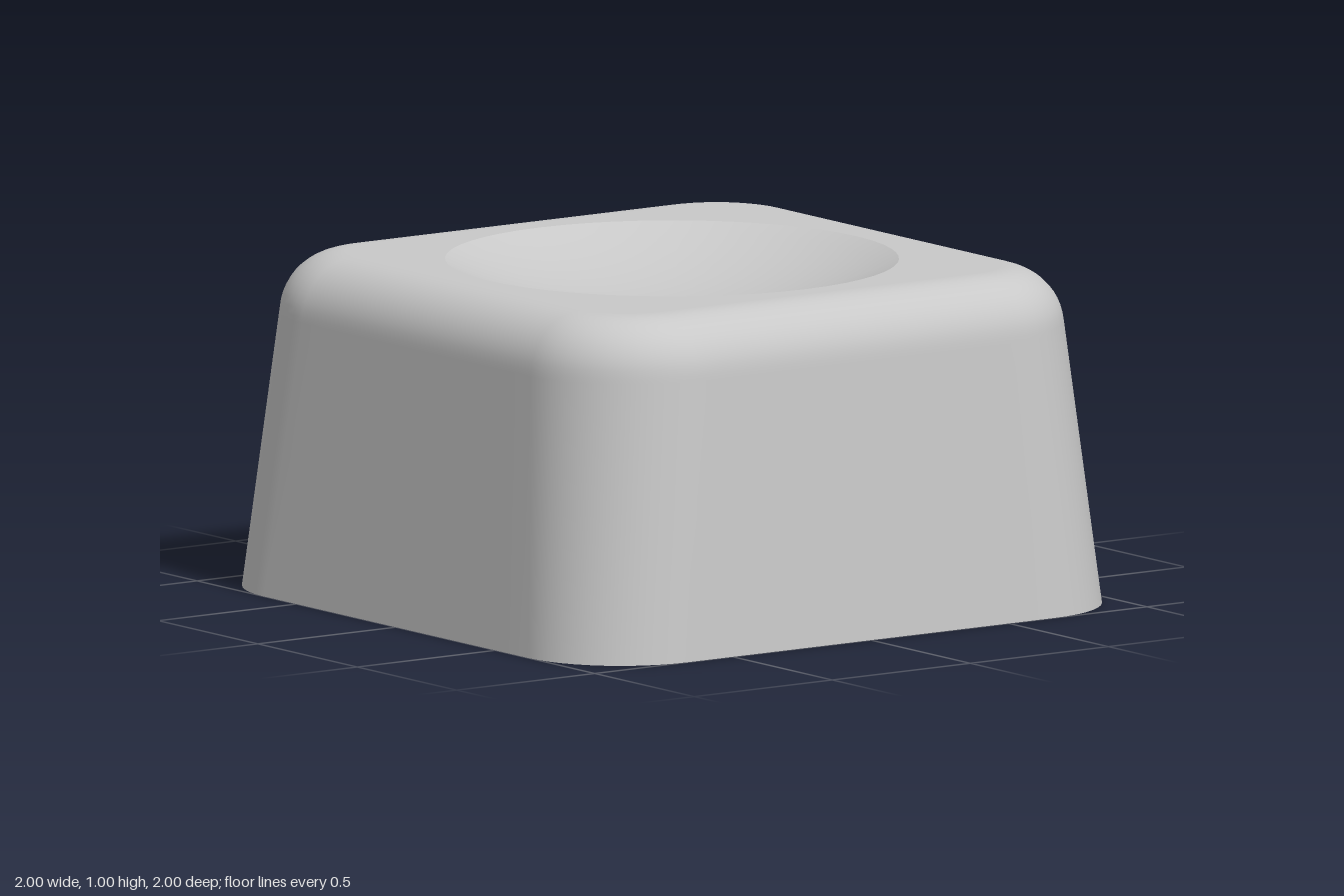
import * as THREE from 'three';
import { toCreasedNormals } from 'three/addons/utils/BufferGeometryUtils.js';

const ARC = 12, STRAIGHT = 12;

// Rounded-square ring at height y: half width h, corner radius r
function squareRing(h, r, y) {
  const pts = [], c = h - r;
  for (let q = 0; q < 4; q++) {
    const corner = (a) => {
      const sx = q === 0 || q === 3 ? 1 : -1, sz = q < 2 ? 1 : -1;
      return new THREE.Vector3(sx * c + r * Math.cos(a), y, sz * c + r * Math.sin(a));
    };
    const start = q * Math.PI / 2;
    for (let i = 0; i <= ARC; i++) pts.push(corner(start + (i / ARC) * Math.PI / 2));
    // Straight side up to the next corner
    const a = pts[pts.length - 1], end = start + Math.PI / 2;
    const b = a.clone().addScaledVector(new THREE.Vector3(-Math.sin(end), 0, Math.cos(end)), 2 * c);
    for (let i = 1; i < STRAIGHT; i++) pts.push(a.clone().lerp(b, i / STRAIGHT));
  }
  return pts;
}

// Circle with the same point directions as a square ring
function circleRing(radius, y) {
  return squareRing(0.72, 0.17, 0).map((p) => p.setLength(radius).setY(y));
}

// Smooth skin through a list of rings
function loft(rings) {
  const n = rings[0].length, index = [];
  for (let k = 0; k < rings.length - 1; k++) {
    for (let i = 0; i < n; i++) {
      const a = k * n + i, b = k * n + (i + 1) % n;
      index.push(a, a + n, b, b, a + n, b + n);
    }
  }
  const geo = new THREE.BufferGeometry().setFromPoints(rings.flat());
  geo.setIndex(index);
  geo.computeVertexNormals();
  return geo;
}

export function createModel() {
  const group = new THREE.Group();
  const plastic = new THREE.MeshStandardMaterial({ color: 0xc8c8c8 });
  plastic.name = 'grey plastic';
  const add = (name, geo) => {
    const mesh = new THREE.Mesh(geo, plastic);
    mesh.name = name;
    group.add(mesh);
    return mesh;
  };

  // Tapered outer walls, rounded shoulder and flat top border
  const baseR = 0.333, shoulderR = 0.35, fillet = 0.18, taper = 0.09;
  const tilt = Math.atan(taper);
  const topHalf = 1 - taper - fillet * Math.tan((Math.PI / 2 - tilt) / 2);
  const topR = shoulderR - fillet * Math.cos(tilt);
  const shell = [];
  const yStart = 1 - fillet + fillet * Math.sin(tilt);
  for (const t of [0, 0.5, 0.9, 0.98]) {
    shell.push(squareRing(1 - taper * yStart * t, THREE.MathUtils.lerp(baseR, shoulderR, t), yStart * t));
  }
  for (let i = 0; i <= 12; i++) {
    const a = tilt + (i / 12) * (Math.PI / 2 - tilt);
    const out = fillet * Math.cos(a);
    shell.push(squareRing(topHalf + out, topR + out, 1 - fillet + fillet * Math.sin(a)));
  }
  shell.push(squareRing(topHalf - 0.01, topR - 0.01, 1));
  shell.push(circleRing(0.667, 1));
  add('outerShell', loft(shell));

  // Spherical finger dish
  const dishR = 0.667, sphereR = 1.65, centreY = 1 + Math.sqrt(sphereR ** 2 - dishR ** 2);
  const dish = [];
  for (let i = 0; i <= 12; i++) {
    const r = Math.max(dishR * (1 - i / 12), 1e-4);
    dish.push(circleRing(r, centreY - Math.sqrt(sphereR ** 2 - r * r)));
  }
  add('fingerDish', loft(dish));

  // Hollow underside
  const inner = { h: 0.852, r: 0.19 }, ceiling = { h: 0.745, r: 0.17, y: 0.8 };
  add('bottomRim', loft([squareRing(inner.h, inner.r, 0), squareRing(1, baseR, 0)]));
  add('innerWalls', loft([squareRing(ceiling.h, ceiling.r, ceiling.y), squareRing(inner.h, inner.r, 0)]));
  add('cavityCeiling', loft([circleRing(1e-4, ceiling.y), squareRing(ceiling.h, ceiling.r, ceiling.y)]));

  // Round stem with a cross-shaped socket
  const stemY = 0.055, L = 0.25, w = 0.075;
  const stemShape = new THREE.Shape().absarc(0, 0, 0.32, 0, Math.PI * 2, false);
  const cross = [[w, w], [w, L], [-w, L], [-w, w], [-L, w], [-L, -w],
    [-w, -w], [-w, -L], [w, -L], [w, -w], [L, -w], [L, w]];
  stemShape.holes.push(new THREE.Path(cross.map(([x, y]) => new THREE.Vector2(x, y))));
  const stem = new THREE.ExtrudeGeometry(stemShape, {
    depth: ceiling.y - stemY, bevelEnabled: false, curveSegments: 48,
  });
  stem.rotateX(-Math.PI / 2);
  add('stem', toCreasedNormals(stem, 0.6)).position.y = stemY;

  // Closed end of the socket
  const socketEnd = new THREE.CircleGeometry(0.3, 32).rotateX(Math.PI / 2);
  add('socketEnd', socketEnd).position.y = 0.5;

  return group;
}
